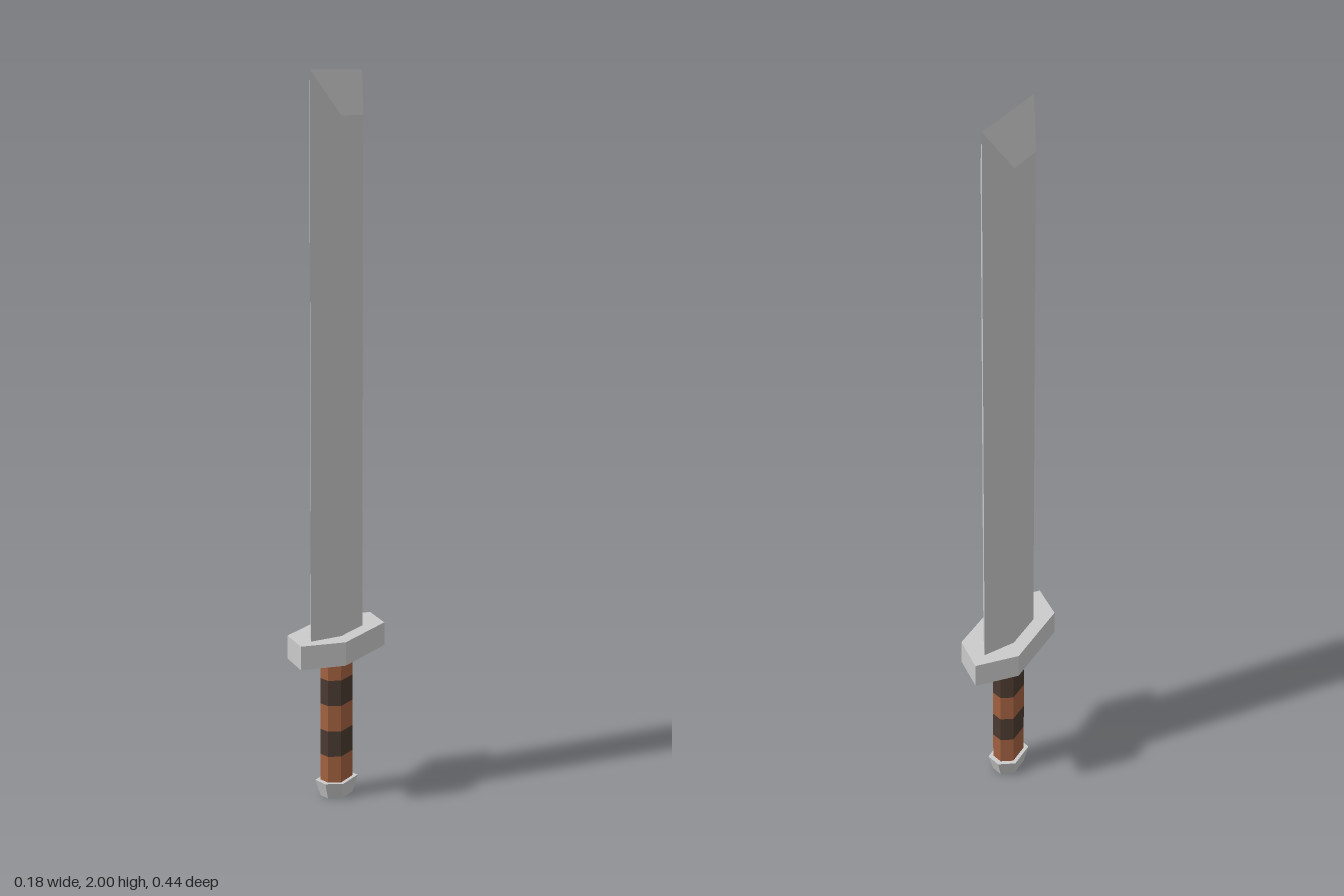
import * as THREE from 'three';

const steel = new THREE.MeshStandardMaterial({ color: 0xcccccc, flatShading: true });
const leather = new THREE.MeshStandardMaterial({ color: 0xa0603f, flatShading: true });
const wrap = new THREE.MeshStandardMaterial({ color: 0x4a3a30, flatShading: true });

// Long hexagon ring: points at +-z, flat sides at +-x; tipY lifts the two points
function ring(y, halfX, halfZ, flatZ, tipY = y) {
  return [
    [0, tipY, halfZ], [halfX, y, flatZ], [halfX, y, -flatZ],
    [0, tipY, -halfZ], [-halfX, y, -flatZ], [-halfX, y, flatZ],
  ];
}

// Closed hexagonal solid between a lower and an upper ring
function hexSolid(name, lower, upper, material) {
  const index = [];
  for (let i = 0; i < 6; i++) {
    const j = (i + 1) % 6;
    index.push(i, j, 6 + j, i, 6 + j, 6 + i);
  }
  // caps, split along the ridge between the two points
  for (const [a, b, c] of [[0, 1, 2], [0, 2, 3], [0, 3, 4], [0, 4, 5]]) {
    index.push(6 + a, 6 + b, 6 + c, a, c, b);
  }
  const geometry = new THREE.BufferGeometry();
  geometry.setAttribute('position', new THREE.Float32BufferAttribute([...lower, ...upper].flat(), 3));
  geometry.setIndex(index);
  const flat = geometry.toNonIndexed();
  flat.computeVertexNormals();
  const mesh = new THREE.Mesh(flat, material);
  mesh.name = name;
  return mesh;
}

export function createModel() {
  const sword = new THREE.Group();
  sword.name = 'sword';

  // Blade: the flat sides stop below the top edge, leaving two sloped facets
  sword.add(hexSolid('blade', ring(0.47, 0.047, 0.161, 0.068), ring(1.88, 0.047, 0.161, 0.068, 2), steel));

  // Crossguard
  sword.add(hexSolid('guard', ring(0.407, 0.088, 0.222, 0.126), ring(0.472, 0.088, 0.222, 0.126), steel));

  // Grip in alternating bands
  const grip = new THREE.Group();
  grip.name = 'grip';
  const levels = [0.045, 0.12, 0.192, 0.265, 0.337, 0.407];
  for (let i = 0; i < levels.length - 1; i++) {
    const [low, high] = [levels[i], levels[i + 1]].map((y) => ring(y, 0.032, 0.055, 0.037));
    grip.add(hexSolid('gripBand' + (i + 1), low, high, i % 2 ? wrap : leather));
  }
  sword.add(grip);

  // Pommel, tapering downwards
  sword.add(hexSolid('pommel', ring(0, 0.033, 0.055, 0.035), ring(0.046, 0.043, 0.072, 0.047), steel));

  return sword;
}
